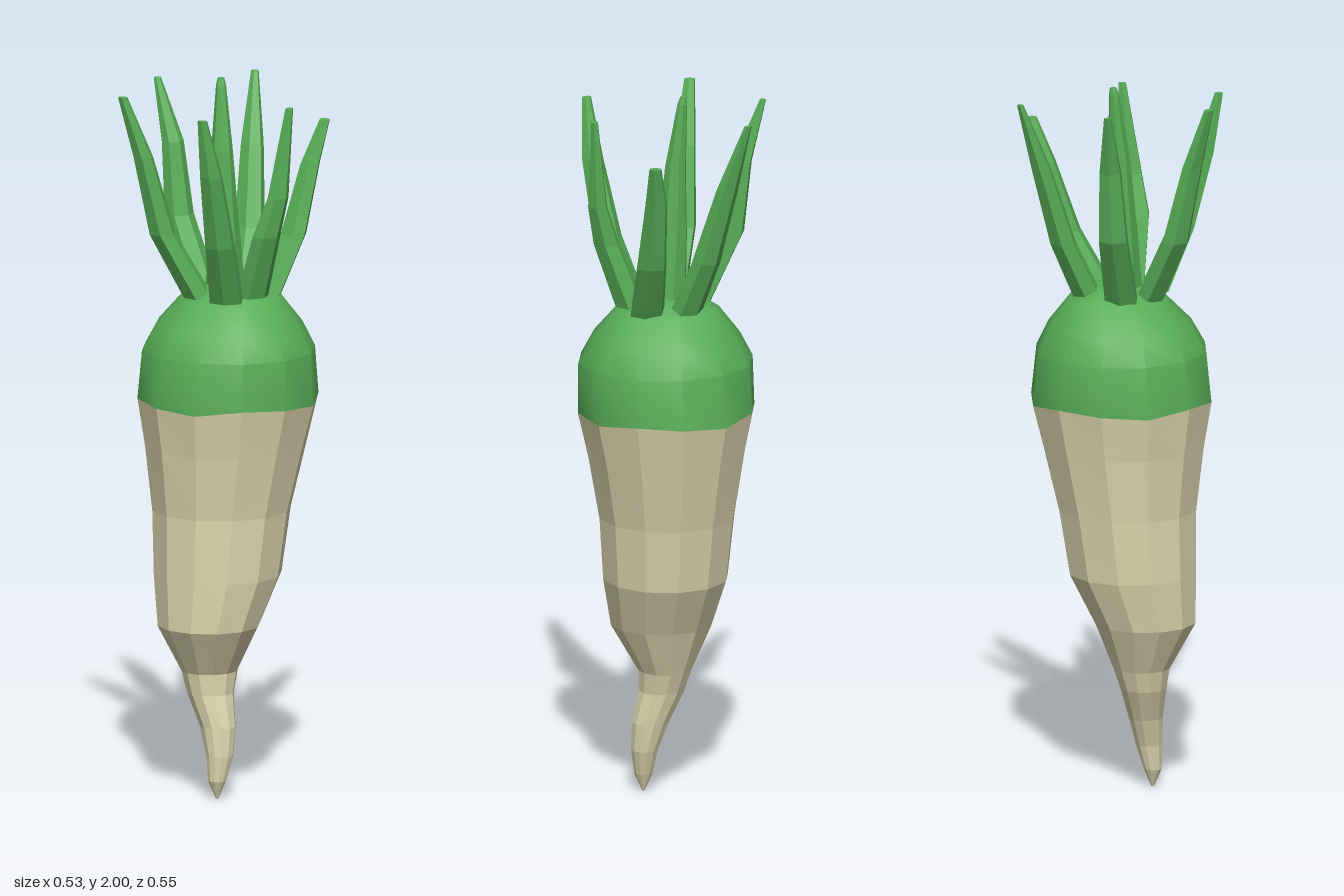
import * as THREE from 'three';
import { toCreasedNormals } from 'three/addons/utils/BufferGeometryUtils.js';

// Skin stacked horizontal rings [x, y, z, rx, rz], closed at both ends
function loft(rings, sides, crease, turn = 0, wave = () => 0) {
  const pos = [], index = [];
  rings.forEach(([x, y, z, rx, rz], r) => {
    for (let i = 0; i < sides; i++) {
      const a = (i / sides) * Math.PI * 2;
      const u = rx * Math.cos(a), v = rz * Math.sin(a);
      pos.push(
        x + u * Math.cos(turn) - v * Math.sin(turn),
        y + wave(r, i),
        z + u * Math.sin(turn) + v * Math.cos(turn));
    }
  });
  for (let r = 0; r < rings.length - 1; r++) {
    for (let i = 0; i < sides; i++) {
      const a = r * sides + i, b = r * sides + (i + 1) % sides;
      index.push(a, a + sides, b + sides, a, b + sides, b);
    }
  }
  const top = (rings.length - 1) * sides;
  for (let i = 1; i < sides - 1; i++) {
    index.push(0, i, i + 1, top, top + i + 1, top + i);
  }
  const g = new THREE.BufferGeometry();
  g.setAttribute('position', new THREE.Float32BufferAttribute(pos, 3));
  g.setIndex(index);
  return toCreasedNormals(g, crease);
}

export function createModel() {
  const group = new THREE.Group();
  const rootSkin = new THREE.MeshStandardMaterial({ color: 0xdfd8b0 });
  rootSkin.name = 'cream root';
  const leafGreen = new THREE.MeshStandardMaterial({ color: 0x58ae57 });
  leafGreen.name = 'leaf green';

  const add = (name, geometry, material) => {
    const mesh = new THREE.Mesh(geometry, material);
    mesh.name = name;
    group.add(mesh);
  };

  // Slightly uneven line where the root meets the crown
  const ripple = i => 0.008 * Math.sin(i * 2.1);
  const rim = [0.018, 1.11, 0.003, 0.248, 0.255];

  // Tapered root with a crooked tip
  const root = [
    [0.058, 0, 0.085, 0.004, 0.004],
    [0.058, 0.05, 0.085, 0.026, 0.025],
    [0.058, 0.12, 0.075, 0.038, 0.038],
    [0.043, 0.2, 0.068, 0.053, 0.048],
    [0.012, 0.29, 0.065, 0.065, 0.065],
    [0.004, 0.35, 0.06, 0.075, 0.08],
    [0.01, 0.48, 0.07, 0.143, 0.142],
    [0.01, 0.62, 0.035, 0.175, 0.18],
    [0.01, 0.8, 0.02, 0.19, 0.195],
    [0.015, 0.98, 0.008, 0.22, 0.228],
    rim,
  ];
  add('root', loft(root, 12, 0.05, 0.1,
    (r, i) => (r === root.length - 1 ? ripple(i) : 0)), rootSkin);

  // Green crown
  const crown = [
    rim,
    [0.02, 1.25, 0.003, 0.245, 0.24],
    [0.02, 1.32, 0, 0.208, 0.203],
    [0.02, 1.4, -0.01, 0.145, 0.13],
    [0.02, 1.43, 0, 0.08, 0.08],
  ];
  add('crown', loft(crown, 12, 0.6, 0.1, (r, i) => (r === 0 ? ripple(i) : 0)), leafGreen);

  // Stalks: centre line points [x, y, z] from crown to tip, and tip radius
  const stalks = [
    ['leftOuterStalk', [[-0.07, 1.4, 0.015], [-0.17, 1.6, 0.005], [-0.2, 1.8, 0], [-0.26, 1.97, 0]], 0.011],
    ['frontRightStalk', [[-0.015, 1.4, 0.085], [-0.075, 1.58, 0.165], [-0.1, 1.8, 0.215], [-0.13, 1.97, 0.265]], 0.016],
    ['frontLeftStalk', [[0.095, 1.4, 0.085], [0.14, 1.57, 0.155], [0.165, 1.78, 0.215], [0.17, 1.945, 0.255]], 0.014],
    ['rightOuterStalk', [[0.12, 1.41, 0.01], [0.185, 1.59, 0.02], [0.215, 1.7, 0.005], [0.232, 1.95, -0.022]], 0.012],
    ['backLeftStalk', [[0.095, 1.4, -0.07], [0.11, 1.56, -0.16], [0.115, 1.75, -0.22], [0.13, 1.87, -0.262]], 0.018],
    ['backRightStalk', [[-0.01, 1.4, -0.085], [-0.05, 1.56, -0.15], [-0.095, 1.78, -0.205], [-0.138, 1.97, -0.258]], 0.011],
  ];
  const widths = [0.05, 0.044, 0.033];
  for (const [name, path, tip] of stalks) {
    const end = path[path.length - 1];
    const turn = Math.atan2(end[2], end[0]);
    const rings = path.map((p, i) => {
      const w = widths[i] ?? tip;
      return [...p, w * 0.85, w];
    });
    add(name, loft(rings, 6, 0.05, turn), leafGreen);
  }

  // Upright stalk in the middle
  add('centreStalk', loft([
    [0.015, 1.4, 0.008, 0.055, 0.055],
    [0.0, 1.6, 0.004, 0.042, 0.045],
    [-0.008, 1.8, 0, 0.03, 0.03],
    [-0.024, 1.98, -0.012, 0.014, 0.014],
    [-0.026, 2.0, -0.014, 0.009, 0.009],
  ], 8, 0.05), leafGreen);

  return group;
}
